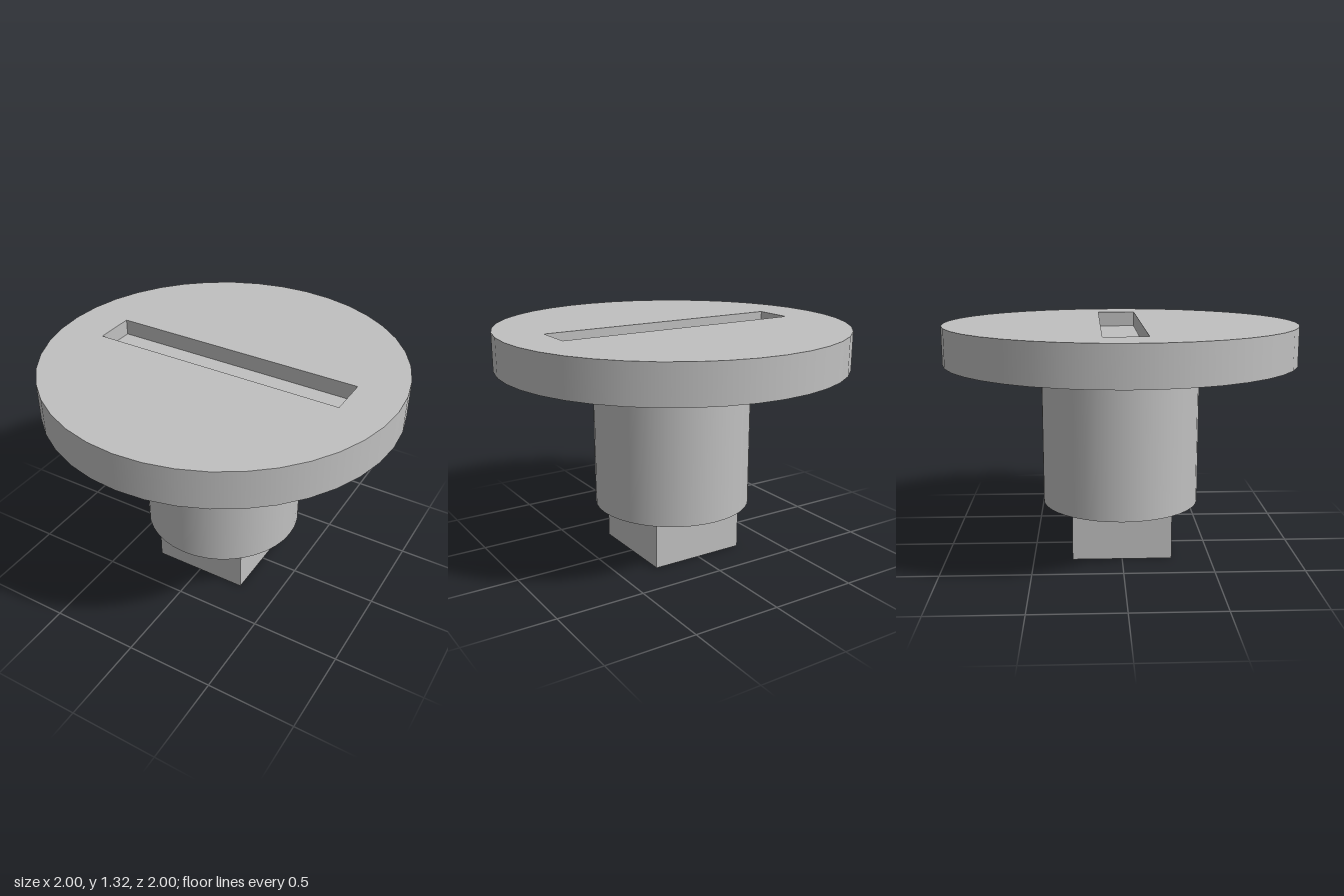
import * as THREE from 'three';

const SIDES = 40;
const FLANGE = { radius: 1, bottom: 1.1, top: 1.315 };
const SLOT = { halfLength: 0.73, halfWidth: 0.115, depth: 0.09 };
const SHAFT = { radius: 0.453, bottom: 0.277 };
const DRIVE_WIDTH = 0.562;

export function createModel() {
  const plainGrey = new THREE.MeshStandardMaterial({ color: 0xc0c0c0 });
  plainGrey.name = 'plainGrey';

  const model = new THREE.Group();
  model.name = 'slottedPlug';

  const add = (name, geometry, y, parent = model) => {
    const mesh = new THREE.Mesh(geometry, plainGrey);
    mesh.name = name;
    mesh.position.y = y;
    parent.add(mesh);
  };

  // Flange: rim, underside and a top face with the slot cut out
  const flange = new THREE.Group();
  flange.name = 'flange';
  model.add(flange);

  const thickness = FLANGE.top - FLANGE.bottom;
  add('flangeRim',
    new THREE.CylinderGeometry(FLANGE.radius, FLANGE.radius, thickness, SIDES, 1, true),
    FLANGE.bottom + thickness / 2, flange);
  add('flangeUnderside',
    new THREE.CircleGeometry(FLANGE.radius, SIDES).rotateX(Math.PI / 2),
    FLANGE.bottom, flange);

  const { halfLength: l, halfWidth: w, depth } = SLOT;
  const face = new THREE.Shape().absarc(0, 0, FLANGE.radius, 0, Math.PI * 2);
  face.holes.push(new THREE.Path([
    new THREE.Vector2(-l, -w), new THREE.Vector2(-l, w),
    new THREE.Vector2(l, w), new THREE.Vector2(l, -w), new THREE.Vector2(-l, -w),
  ]));
  add('flangeTop',
    new THREE.ShapeGeometry(face, SIDES / 2).rotateX(-Math.PI / 2),
    FLANGE.top, flange);

  // Slot pocket: a box without its lid, mirrored so its faces point inward
  const pocket = new THREE.BoxGeometry(l * 2, depth, w * 2);
  const corners = Array.from(pocket.index.array);
  corners.splice(12, 6);
  pocket.setIndex(corners);
  pocket.clearGroups();
  pocket.scale(-1, 1, 1);
  pocket.computeVertexNormals();
  add('slotPocket', pocket, FLANGE.top - depth / 2, flange);

  // Round shaft
  const shaftHeight = FLANGE.bottom - SHAFT.bottom;
  add('shaft',
    new THREE.CylinderGeometry(SHAFT.radius, SHAFT.radius, shaftHeight, SIDES),
    SHAFT.bottom + shaftHeight / 2);

  // Square drive at the foot
  add('squareDrive',
    new THREE.BoxGeometry(DRIVE_WIDTH, SHAFT.bottom, DRIVE_WIDTH),
    SHAFT.bottom / 2);

  return model;
}
